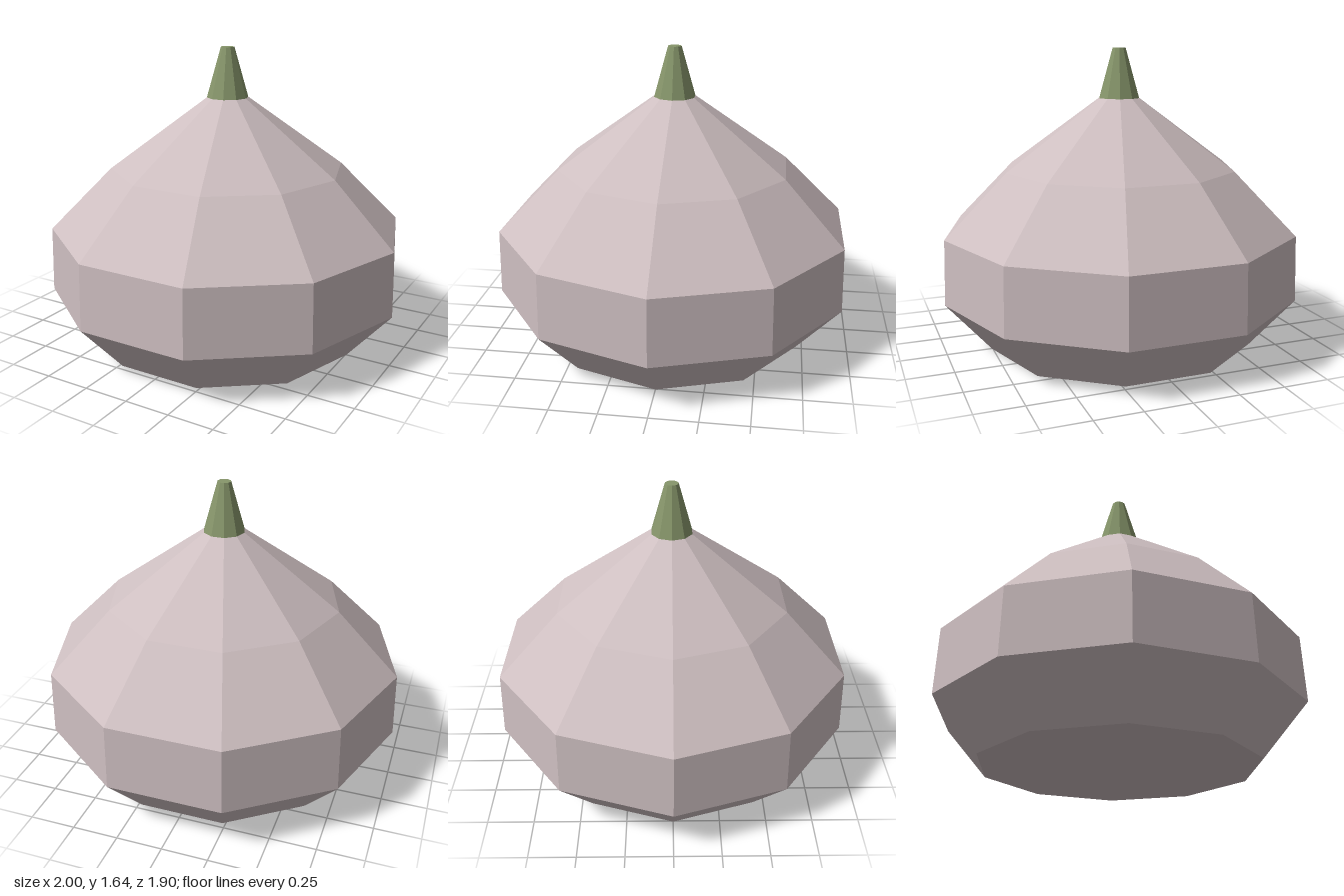
import * as THREE from 'three';

const SIDES = 10;

// Faceted ten-sided solid of revolution with corners on the x axis
function facetedLathe(profile) {
  const points = profile.map(([r, y]) => new THREE.Vector2(r, y));
  const geometry = new THREE.LatheGeometry(points, SIDES, Math.PI / 2).toNonIndexed();
  geometry.computeVertexNormals();
  return geometry;
}

export function createModel() {
  const model = new THREE.Group();
  model.name = 'gourd';

  const skin = new THREE.MeshStandardMaterial({ color: 0xcdbec0 });
  skin.name = 'pale pink skin';
  const green = new THREE.MeshStandardMaterial({ color: 0x87966b });
  green.name = 'stem green';

  // Squat bulb with a dished underside and a pointed crown
  const bulb = new THREE.Mesh(facetedLathe([
    [0, 0.07], [0.755, 0], [1, 0.28], [0.99, 0.64], [0.65, 0.98], [0.11, 1.37], [0, 1.44],
  ]), skin);
  bulb.name = 'bulb';

  // Tapered stem, its foot sunk into the crown
  const stem = new THREE.Mesh(facetedLathe([
    [0, 1.34], [0.122, 1.34], [0.037, 1.64], [0, 1.64],
  ]), green);
  stem.name = 'stem';

  model.add(bulb, stem);
  return model;
}
